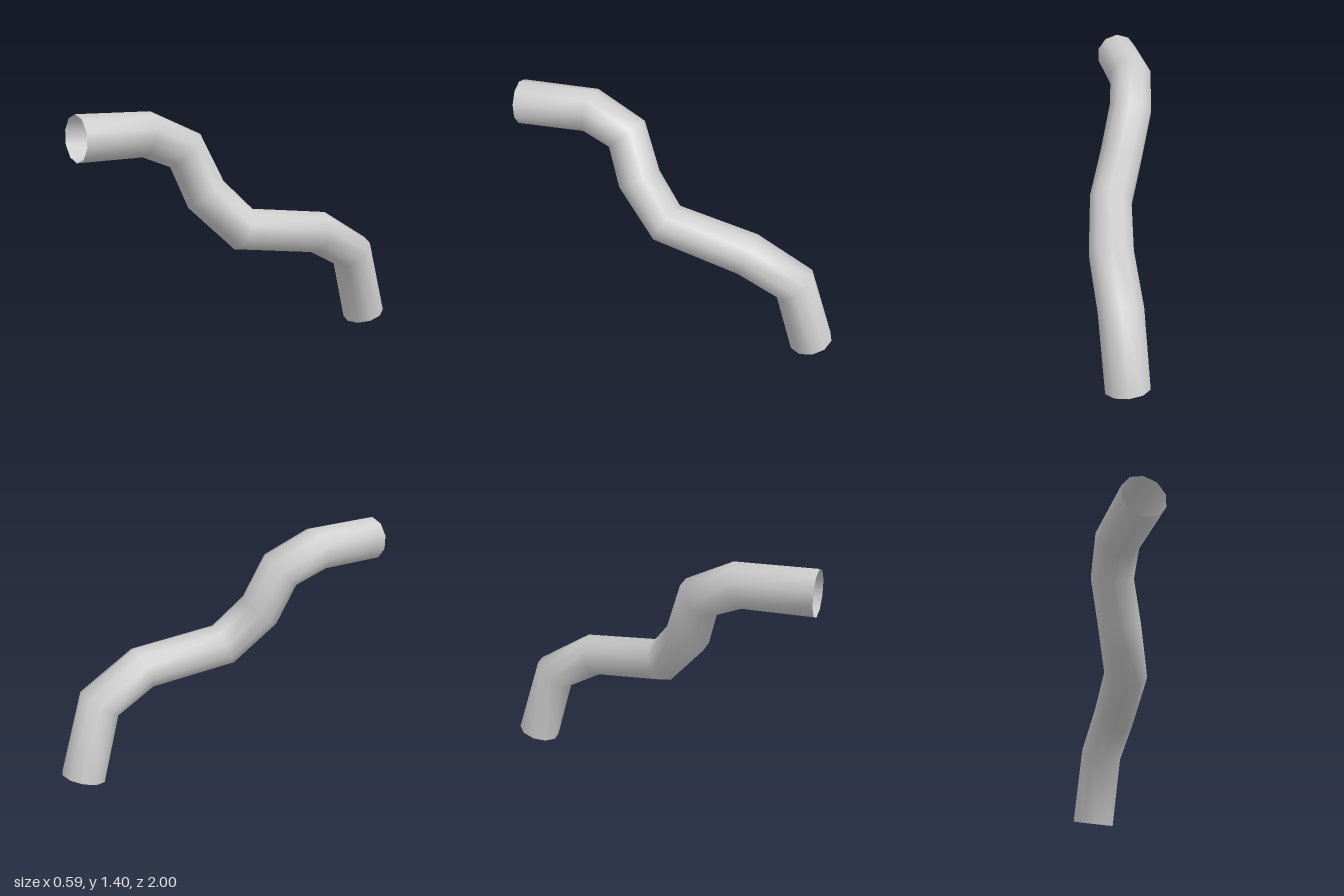
import * as THREE from 'three';

const SIDES = 10;
const RADIUS = 0.131;

// Centre line of the pipe, from the front mouth to the lower rear mouth
const PATH = [
  [-0.174, 1.272, 1],
  [-0.17, 1.272, 0.565],
  [-0.122, 1.17, 0.335],
  [-0.047, 0.915, 0.245],
  [0.06, 0.702, 0.053],
  [0.158, 0.635, -0.455],
  [0.167, 0.475, -0.742],
  [0.158, 0.04, -0.875],
].map((p) => new THREE.Vector3(...p));

// Open faceted tube: each ring lies across the mean direction of its two segments
function bentPipe(path, radius, sides) {
  const direction = (i) => path[i + 1].clone().sub(path[i]).normalize();
  const last = path.length - 1;
  const positions = [];
  const index = [];
  const normal = new THREE.Vector3(0, 1, 0);

  path.forEach((centre, i) => {
    const tangent = new THREE.Vector3();
    if (i > 0) tangent.add(direction(i - 1));
    if (i < last) tangent.add(direction(i));
    tangent.normalize();
    // Carry the ring's frame along without twisting
    normal.addScaledVector(tangent, -normal.dot(tangent)).normalize();
    const side = tangent.clone().cross(normal);

    for (let j = 0; j < sides; j++) {
      const angle = (j / sides) * Math.PI * 2;
      const point = centre.clone()
        .addScaledVector(normal, Math.cos(angle) * radius)
        .addScaledVector(side, Math.sin(angle) * radius);
      positions.push(point.x, point.y, point.z);
      if (i < last) {
        const a = i * sides + j;
        const b = i * sides + ((j + 1) % sides);
        index.push(a, b, a + sides, b, b + sides, a + sides);
      }
    }
  });

  const geometry = new THREE.BufferGeometry();
  geometry.setAttribute('position', new THREE.Float32BufferAttribute(positions, 3));
  geometry.setIndex(index);
  geometry.computeVertexNormals();
  return geometry;
}

export function createModel() {
  const group = new THREE.Group();
  group.name = 'bentPipe';

  const grey = new THREE.MeshStandardMaterial({ color: 0xcccccc, side: THREE.DoubleSide });
  grey.name = 'light grey';

  const pipe = new THREE.Mesh(bentPipe(PATH, RADIUS, SIDES), grey);
  pipe.name = 'pipe';
  group.add(pipe);
  return group;
}
